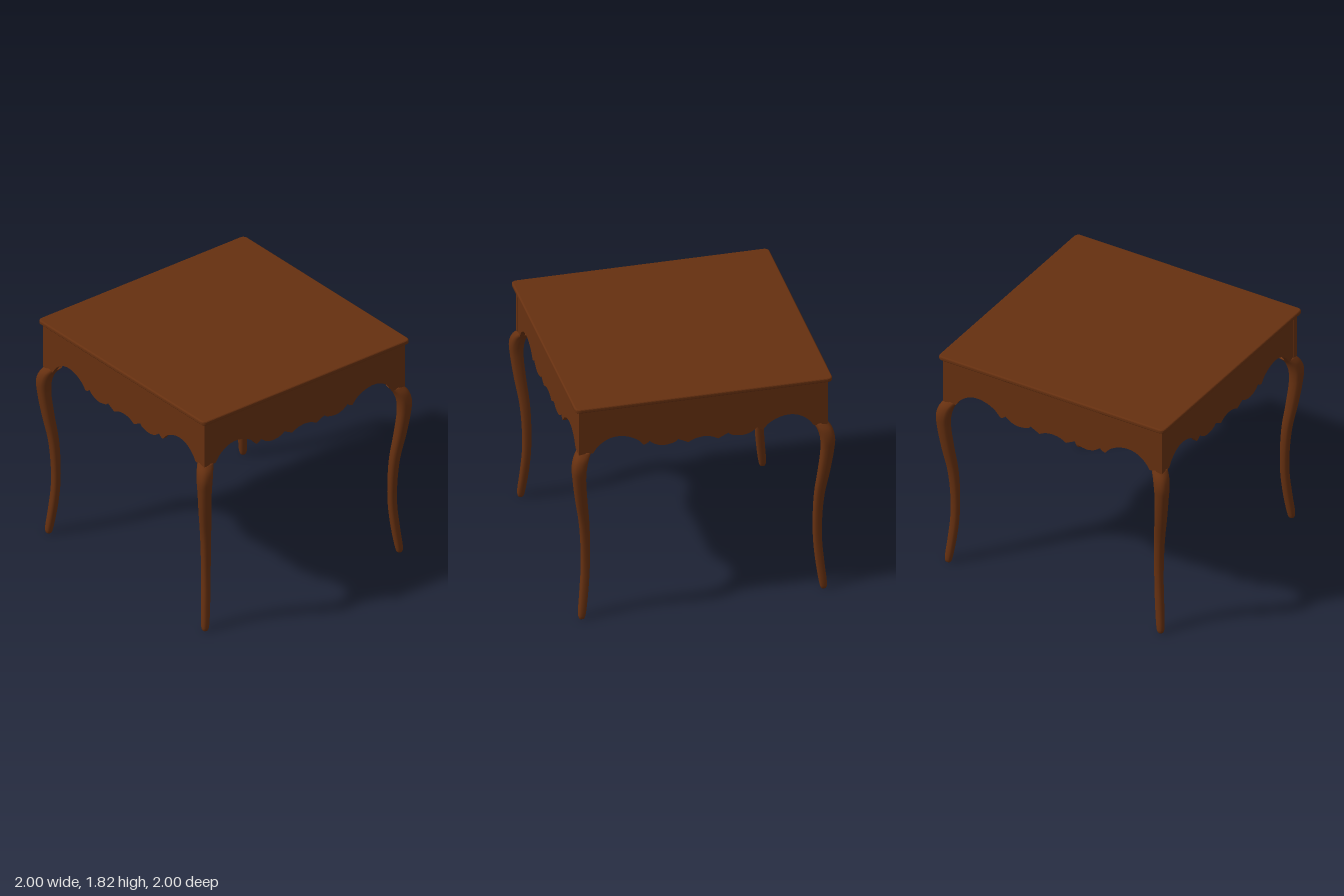
import * as THREE from 'three';

const wood = new THREE.MeshStandardMaterial({ color: 0x663010 });
wood.name = 'brown wood';

function addMesh(parent, name, geometry, x = 0, y = 0, z = 0) {
  const mesh = new THREE.Mesh(geometry, wood);
  mesh.name = name;
  mesh.position.set(x, y, z);
  parent.add(mesh);
  return mesh;
}

// Square slab with softly rounded rim
function topGeometry() {
  const h = 0.968, r = 0.03;
  const s = new THREE.Shape();
  s.moveTo(-h + r, -h);
  s.lineTo(h - r, -h);
  s.quadraticCurveTo(h, -h, h, -h + r);
  s.lineTo(h, h - r);
  s.quadraticCurveTo(h, h, h - r, h);
  s.lineTo(-h + r, h);
  s.quadraticCurveTo(-h, h, -h, h - r);
  s.lineTo(-h, -h + r);
  s.quadraticCurveTo(-h, -h, -h + r, -h);
  const g = new THREE.ExtrudeGeometry(s, {
    depth: 0.013, bevelThickness: 0.011, bevelSize: 0.012, bevelSegments: 4, curveSegments: 6,
  });
  return g.rotateX(-Math.PI / 2);
}

// Apron board with a scalloped lower edge, mirrored about its middle
function apronGeometry() {
  // Each arc of the edge, from the middle outwards, as a few points
  const arcs = [
    [[0, 1.437], [0.06, 1.428], [0.115, 1.402]],
    [[0.115, 1.402], [0.15, 1.42], [0.19, 1.44]],
    [[0.19, 1.44], [0.22, 1.418], [0.295, 1.405], [0.36, 1.42], [0.41, 1.455]],
    [[0.41, 1.455], [0.43, 1.437], [0.455, 1.43]],
    [[0.455, 1.43], [0.5, 1.478], [0.57, 1.515], [0.65, 1.53], [0.73, 1.514], [0.8, 1.465], [0.84, 1.41]],
    [[0.84, 1.41], [0.93, 1.41]],
  ];
  const half = [];
  for (const arc of arcs) {
    const curve = new THREE.SplineCurve(arc.map(([x, y]) => new THREE.Vector2(x, y)));
    half.push(...curve.getPoints(arc.length * 3).slice(0, -1));
  }
  half.push(new THREE.Vector2(0.93, 1.41));
  const left = half.slice(1).reverse().map(p => new THREE.Vector2(-p.x, p.y));
  const outline = [...left, ...half, new THREE.Vector2(0.93, 1.785), new THREE.Vector2(-0.93, 1.785)];
  return new THREE.ExtrudeGeometry(new THREE.Shape(outline), { depth: 0.035, bevelEnabled: false });
}

// Curved leg: rounded sections whose centre moves along the diagonal
function legGeometry() {
  // height, inner side, outer side
  const profile = [
    [0, 0.9, 0.94], [0.025, 0.892, 0.946], [0.2, 0.867, 0.932], [0.4, 0.851, 0.917],
    [0.6, 0.849, 0.919], [0.8, 0.857, 0.935], [1.0, 0.878, 0.968], [1.2, 0.894, 0.994],
    [1.3, 0.888, 1.0], [1.37, 0.868, 0.983], [1.42, 0.835, 0.946],
  ];
  const curve = new THREE.CatmullRomCurve3(profile.map(p => new THREE.Vector3(...p)));
  const sides = 16, rows = 40, positions = [], index = [];
  const soft = v => Math.sign(v) * Math.abs(v) ** 0.8;
  for (let j = 0; j <= rows; j++) {
    const p = curve.getPoint(j / rows);
    const c = (p.y + p.z) / 2, h = (p.z - p.y) / 2;
    for (let i = 0; i < sides; i++) {
      const a = (i / sides) * Math.PI * 2;
      positions.push(c + h * soft(Math.cos(a)), p.x, c + h * soft(Math.sin(a)));
    }
  }
  const foot = positions.length / 3;
  positions.push(0.92, 0, 0.92, 0.89, 1.42, 0.89);
  for (let i = 0; i < sides; i++) {
    const k = (i + 1) % sides;
    for (let j = 0; j < rows; j++) {
      const a = j * sides + i, b = j * sides + k;
      index.push(a, a + sides, b, b, a + sides, b + sides);
    }
    index.push(foot, i, k, foot + 1, rows * sides + k, rows * sides + i);
  }
  const g = new THREE.BufferGeometry();
  g.setAttribute('position', new THREE.Float32BufferAttribute(positions, 3));
  g.setIndex(index);
  g.computeVertexNormals();
  return g;
}

export function createModel() {
  const table = new THREE.Group();
  table.name = 'table';
  addMesh(table, 'tableTop', topGeometry(), 0, 1.791, 0);

  // Four identical sides: apron, corner post and leg
  const apron = apronGeometry(), leg = legGeometry();
  const post = new THREE.BoxGeometry(0.05, 0.375, 0.05);
  for (let i = 0; i < 4; i++) {
    const side = new THREE.Group();
    side.name = 'side' + (i + 1);
    side.rotation.y = (i * Math.PI) / 2;
    addMesh(side, 'apron', apron, 0, 0, 0.911);
    addMesh(side, 'cornerPost', post, 0.924, 1.5975, 0.924);
    addMesh(side, 'leg', leg);
    table.add(side);
  }

  // Hidden cross rail with a flat plate at each end
  addMesh(table, 'crossRail', new THREE.BoxGeometry(1.83, 0.015, 0.08), 0, 1.56, 0.5);
  for (const s of [-1, 1]) {
    addMesh(table, 'railPlate', new THREE.BoxGeometry(0.38, 0.01, 0.38), s * 0.72, 1.56, 0.4);
  }
  return table;
}
